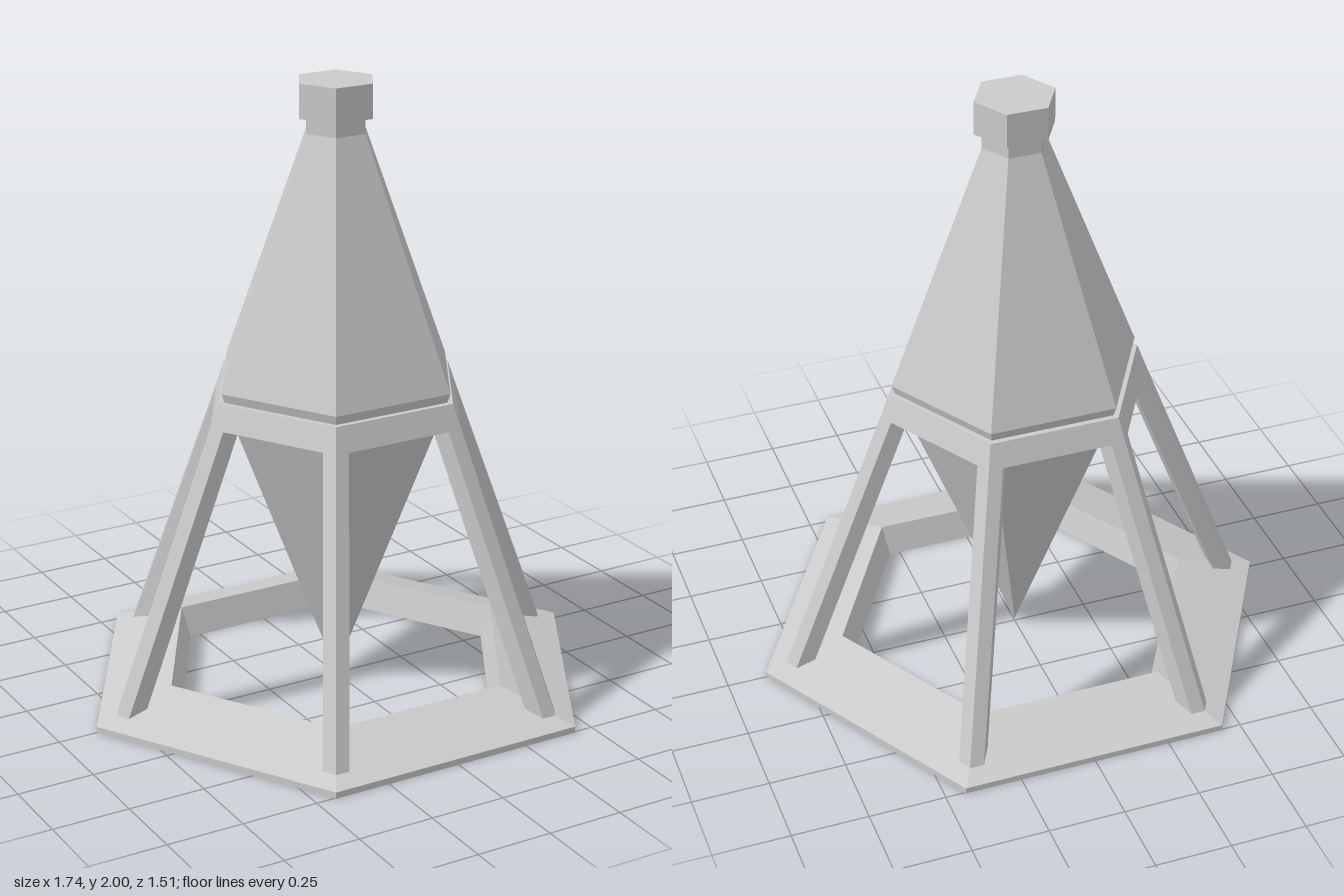
import * as THREE from 'three';

const material = new THREE.MeshStandardMaterial({ color: 0xcccccc, flatShading: true });

// Six-sided solid turned from [radius, height] points, with corners on the x axis
function hexSolid(name, profile) {
  const points = profile.map(([r, y]) => new THREE.Vector2(r, y));
  const mesh = new THREE.Mesh(new THREE.LatheGeometry(points, 6, Math.PI / 6), material);
  mesh.name = name;
  return mesh;
}

// Leaning leg whose outer edge follows a corner of the hexagonal frame
function legGeometry(bottomR, topR, bottomY, topY) {
  const w = 0.04, depth = 0.08, bevel = w * Math.tan(Math.PI / 6);
  const section = new THREE.Shape([
    [0, 0], [-bevel, w], [-depth, w], [-depth, -w], [-bevel, -w],
  ].map(([x, y]) => new THREE.Vector2(x, y)));
  const height = topY - bottomY;
  const geometry = new THREE.ExtrudeGeometry(section, { depth: height, bevelEnabled: false });
  geometry.rotateX(-Math.PI / 2);
  const shear = new THREE.Matrix4().set(
    1, (topR - bottomR) / height, 0, 0,
    0, 1, 0, 0,
    0, 0, 1, 0,
    0, 0, 0, 1);
  geometry.applyMatrix4(shear);
  geometry.translate(bottomR, bottomY, 0);
  return geometry;
}

export function createModel() {
  const model = new THREE.Group();
  model.name = 'hexagonalVesselOnStand';

  // Sloped base ring with an open centre
  model.add(hexSolid('baseRing', [
    [0.57, 0], [0.87, 0], [0.87, 0.02], [0.605, 0.1], [0.57, 0],
  ]));

  // Collar carrying the vessel
  model.add(hexSolid('collar', [
    [0.37, 0.94], [0.45, 0.94], [0.42, 1.02], [0.395, 1.02], [0.37, 0.94],
  ]));

  // Six legs under the collar corners
  const legs = new THREE.Group();
  legs.name = 'legs';
  const geometry = legGeometry(0.8, 0.45, 0.04, 0.94);
  for (let i = 0; i < 6; i++) {
    const leg = new THREE.Mesh(geometry, material);
    leg.name = 'leg';
    leg.rotation.y = i * Math.PI / 3;
    legs.add(leg);
  }
  model.add(legs);

  // Vessel: pointed lower half, tapered upper half and neck
  model.add(hexSolid('vessel', [
    [0, 0.01], [0.4, 1.02], [0.41, 1.05], [0.105, 1.84], [0.105, 1.89],
  ]));

  // Cap
  model.add(hexSolid('cap', [[0, 1.89], [0.13, 1.89], [0.13, 2], [0, 2]]));

  return model;
}
